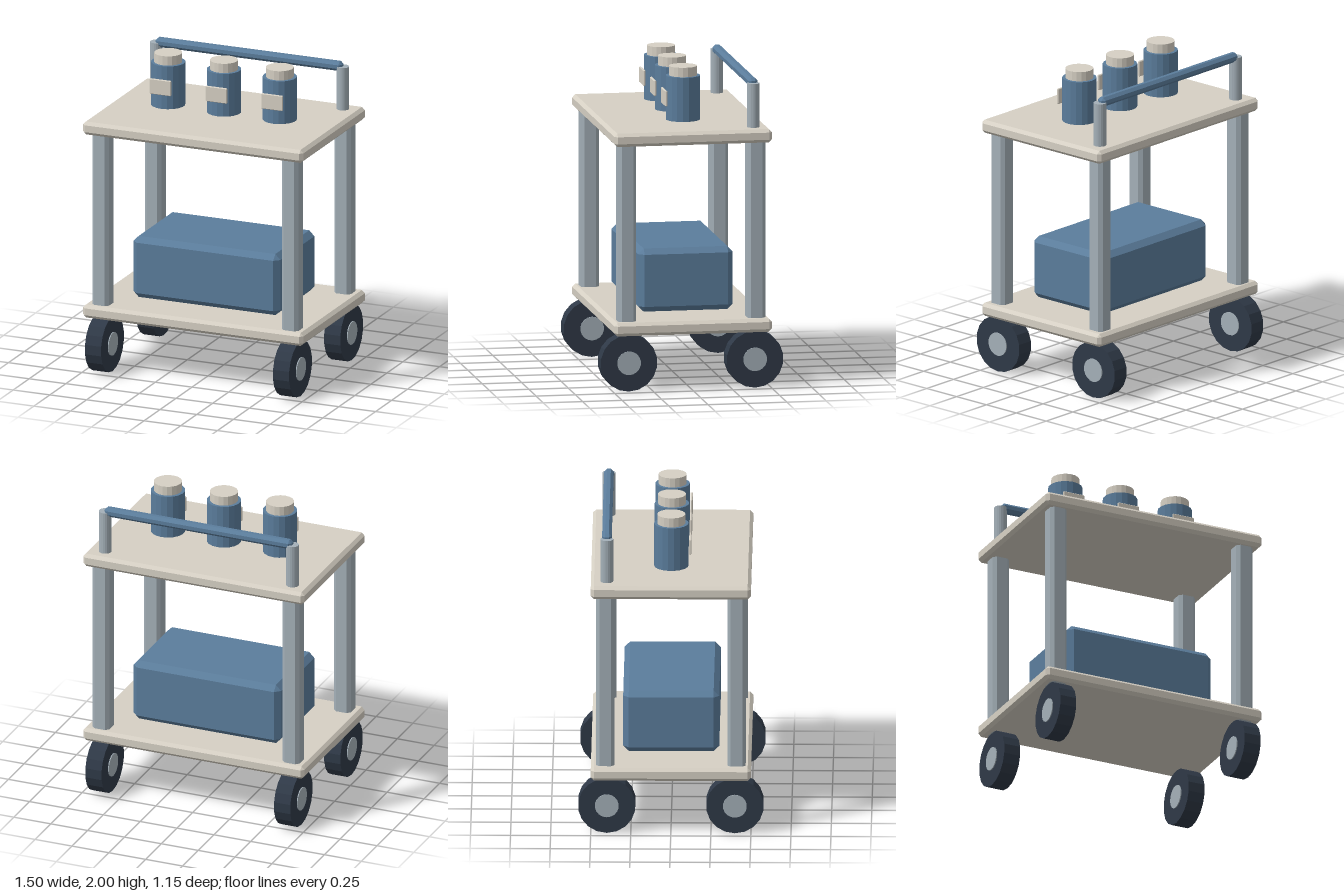
import * as THREE from 'three';
import { ConvexGeometry } from 'three/addons/geometries/ConvexGeometry.js';

const paint = (color) => new THREE.MeshStandardMaterial({ color, flatShading: true });

// Box with every edge cut at 45 degrees by c
function chamferBox(w, h, d, c) {
  const points = [];
  const [x, y, z] = [w / 2, h / 2, d / 2];
  for (const sx of [-1, 1]) for (const sy of [-1, 1]) for (const sz of [-1, 1]) {
    points.push(
      new THREE.Vector3(sx * x, sy * (y - c), sz * (z - c)),
      new THREE.Vector3(sx * (x - c), sy * y, sz * (z - c)),
      new THREE.Vector3(sx * (x - c), sy * (y - c), sz * z)
    );
  }
  return new ConvexGeometry(points);
}

const cylinder = (r, h, sides = 18) => new THREE.CylinderGeometry(r, r, h, sides);

// Cylinder lying along x, with a corner at the bottom
const axle = (r, w, sides) => cylinder(r, w, sides).rotateY(Math.PI / 2).rotateZ(Math.PI / 2);

export function createModel() {
  const model = new THREE.Group();
  model.name = 'trolley';
  const cream = paint(0xd6d0c4);
  const blue = paint(0x5b7d9c);
  const dark = paint(0x2f3947);
  const steel = paint(0xa4b0b8);

  function add(parent, name, geometry, material, x, y, z) {
    const mesh = new THREE.Mesh(geometry, material);
    mesh.name = name;
    mesh.position.set(x, y, z);
    parent.add(mesh);
  }

  // Shelves
  const shelf = chamferBox(1.5, 0.085, 1, 0.02);
  add(model, 'lowerShelf', shelf, cream, 0, 0.4, 0);
  add(model, 'upperShelf', shelf, cream, 0, 1.6, 0);

  // Legs and wheels at the four corners
  const leg = chamferBox(0.114, 1.28, 0.114, 0.021);
  const tire = axle(0.18, 0.11, 18);
  const hub = axle(0.075, 0.122, 18);
  for (const sx of [-1, 1]) for (const sz of [-1, 1]) {
    const corner = (sz > 0 ? 'front' : 'back') + (sx > 0 ? 'Left' : 'Right');
    add(model, corner + 'Leg', leg, steel, sx * 0.645, 0.98, sz * 0.41);
    const wheel = new THREE.Group();
    wheel.name = corner + 'Wheel';
    wheel.position.set(sx * 0.64, 0.18, sz * 0.4);
    add(wheel, 'tire', tire, dark, 0, 0, 0);
    add(wheel, 'hub', hub, steel, 0, 0, 0);
    model.add(wheel);
  }

  // Storage case on the lower shelf
  add(model, 'storageCase', chamferBox(1, 0.4, 0.6, 0.035), blue, 0, 0.663, 0);

  // Push handle along the back
  const post = cylinder(0.04, 0.3);
  add(model, 'leftHandlePost', post, steel, 0.635, 1.77, -0.4);
  add(model, 'rightHandlePost', post, steel, -0.635, 1.77, -0.4);
  add(model, 'handleBar', chamferBox(1.27, 0.06, 0.06, 0.018), blue, 0, 1.92, -0.4);

  // Three labelled bottles
  const body = cylinder(0.108, 0.28);
  const cap = cylinder(0.088, 0.08);
  const label = chamferBox(0.145, 0.1, 0.015, 0.004);
  ['right', 'middle', 'left'].forEach((side, i) => {
    const bottle = new THREE.Group();
    bottle.name = side + 'Bottle';
    bottle.position.x = (i - 1) * 0.38;
    add(bottle, 'body', body, blue, 0, 1.8, 0);
    add(bottle, 'cap', cap, cream, 0, 1.96, 0);
    add(bottle, 'label', label, cream, 0, 1.805, 0.119);
    model.add(bottle);
  });

  return model;
}
